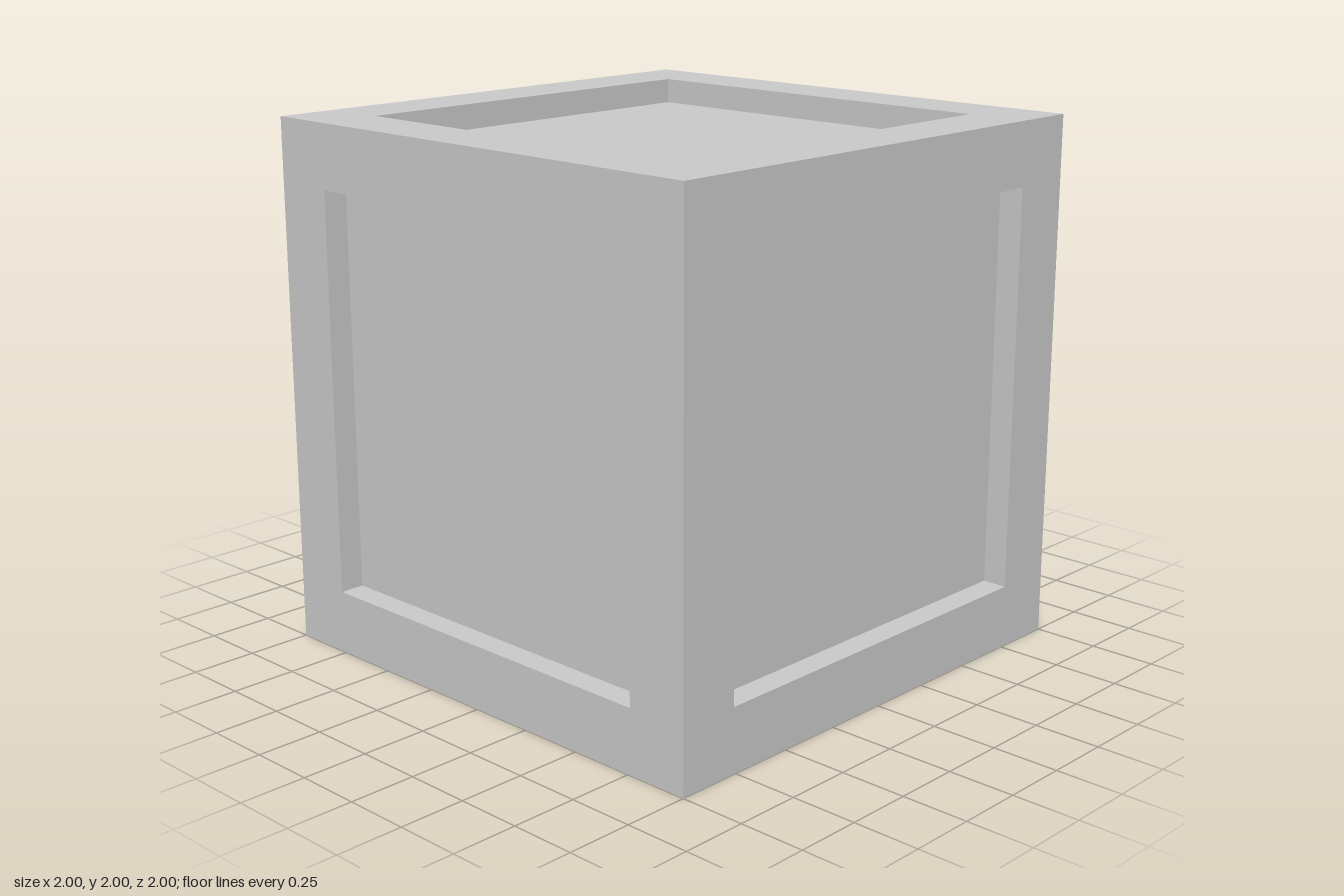
import * as THREE from 'three';

const HALF = 1;        // half the cube's edge
const OPEN = 0.76;     // half the recess opening
const DEPTH = 0.095;   // recess depth

const material = new THREE.MeshStandardMaterial({ color: 0xcccccc, flatShading: true });

function addMesh(parent, name, geometry) {
  const mesh = new THREE.Mesh(geometry, material);
  mesh.name = name;
  parent.add(mesh);
  return mesh;
}

// Closed square outline with the given half size
function square(h, Type) {
  return new Type([[-h, -h], [h, -h], [h, h], [-h, h]].map(([x, y]) => new THREE.Vector2(x, y)));
}

// One face of the cube, looking along +z: border, sunken panel and four recess walls
function createSide(name) {
  const side = new THREE.Group();
  side.name = name;

  const border = square(HALF, THREE.Shape);
  border.holes.push(square(OPEN, THREE.Path));
  addMesh(side, 'frame', new THREE.ShapeGeometry(border).translate(0, 0, HALF));

  addMesh(side, 'panel', new THREE.PlaneGeometry(2 * OPEN, 2 * OPEN).translate(0, 0, HALF - DEPTH));

  // Walls face the middle of the opening
  for (let i = 0; i < 4; i++) {
    const wall = new THREE.PlaneGeometry(2 * OPEN, DEPTH)
      .rotateX(-Math.PI / 2)
      .translate(0, -OPEN, HALF - DEPTH / 2)
      .rotateZ(i * Math.PI / 2);
    addMesh(side, 'recessWall', wall);
  }
  return side;
}

export function createModel() {
  const model = new THREE.Group();
  model.name = 'panelledCube';

  const cube = new THREE.Group();
  cube.name = 'cube';
  cube.position.y = HALF;
  model.add(cube);

  // The same side turned to all six directions
  const q = Math.PI / 2;
  const sides = [
    ['frontSide', 0, 0], ['leftSide', 0, q], ['backSide', 0, 2 * q], ['rightSide', 0, -q],
    ['topSide', -q, 0], ['bottomSide', q, 0],
  ];
  for (const [name, rx, ry] of sides) {
    const side = createSide(name);
    side.rotation.set(rx, ry, 0);
    cube.add(side);
  }
  return model;
}
